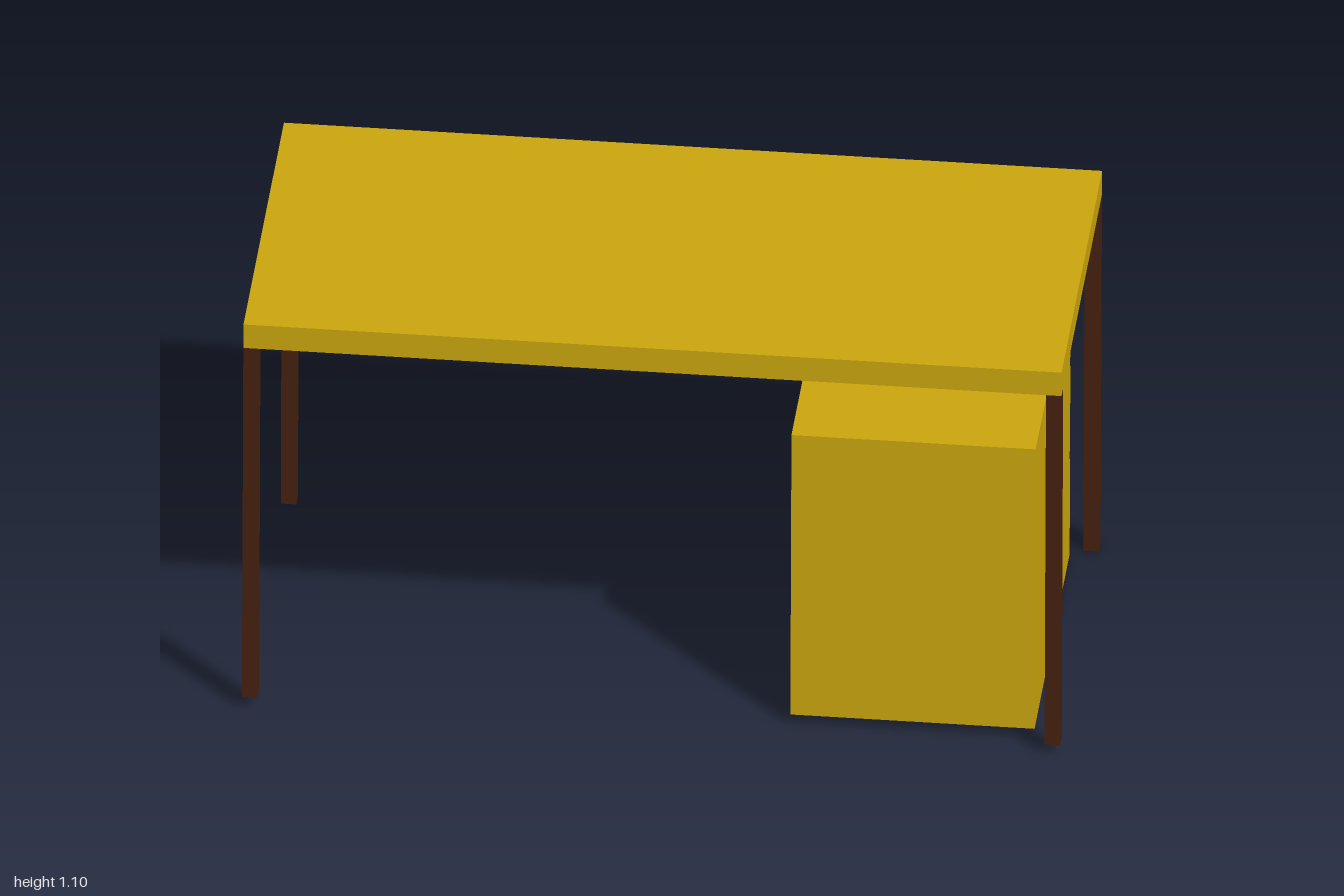
import * as THREE from 'three';

const WIDTH = 2, DEPTH = 0.934, LEG_H = 1.0, TOP_T = 0.067, LEG = 0.038;
const TILT = -0.0323; // the whole desk leans slightly towards the back

export function createModel() {
  const wood = new THREE.MeshStandardMaterial({ color: 0xcca70e });
  wood.name = 'yellowWood';
  const brown = new THREE.MeshStandardMaterial({ color: 0x45210e });
  brown.name = 'darkBrown';

  const desk = new THREE.Group();
  desk.name = 'desk';

  const box = (name, mat, w, h, d, x, y, z) => {
    const mesh = new THREE.Mesh(new THREE.BoxGeometry(w, h, d), mat);
    mesh.name = name;
    mesh.position.set(x, y, z);
    desk.add(mesh);
    return mesh;
  };

  // Table top
  box('tableTop', wood, WIDTH, TOP_T, DEPTH, 0, LEG_H + TOP_T / 2, 0);

  // Four square legs with inset wooden ends
  for (const sx of [-1, 1]) {
    for (const sz of [-1, 1]) {
      const name = (sz > 0 ? 'front' : 'back') + (sx > 0 ? 'Left' : 'Right') + 'Leg';
      const x = sx * (WIDTH - LEG) / 2, z = sz * (DEPTH - LEG) / 2;
      box(name, brown, LEG, LEG_H, LEG, x, LEG_H / 2, z);
      box(name + 'End', wood, LEG * 0.6, 0.002, LEG * 0.6, x, 0, z);
    }
  }

  // Drawer cabinet, with the drawers facing the back
  const cx = 0.632, cabW = 0.597, cabH = 0.8, cabD = 0.8;
  box('cabinet', wood, cabW, cabH, cabD, cx, cabH / 2 + 0.001, 0);

  // Three drawer fronts, each with a bar handle
  const pitch = cabH / 3, faceT = 0.038;
  for (let i = 0; i < 3; i++) {
    const y = pitch * (i + 0.5) + 0.001;
    box('drawerFront' + (i + 1), wood, cabW - 0.006, 0.24, faceT, cx, y, -cabD / 2 - faceT / 2);
    box('drawerHandle' + (i + 1), brown, 0.11, 0.025, 0.027, cx, y + 0.032, -cabD / 2 - faceT - 0.0135);
  }

  desk.rotation.x = TILT;
  desk.position.set(0, 0.0165, 0.0173);

  const model = new THREE.Group();
  model.name = 'deskModel';
  model.add(desk);
  return model;
}
